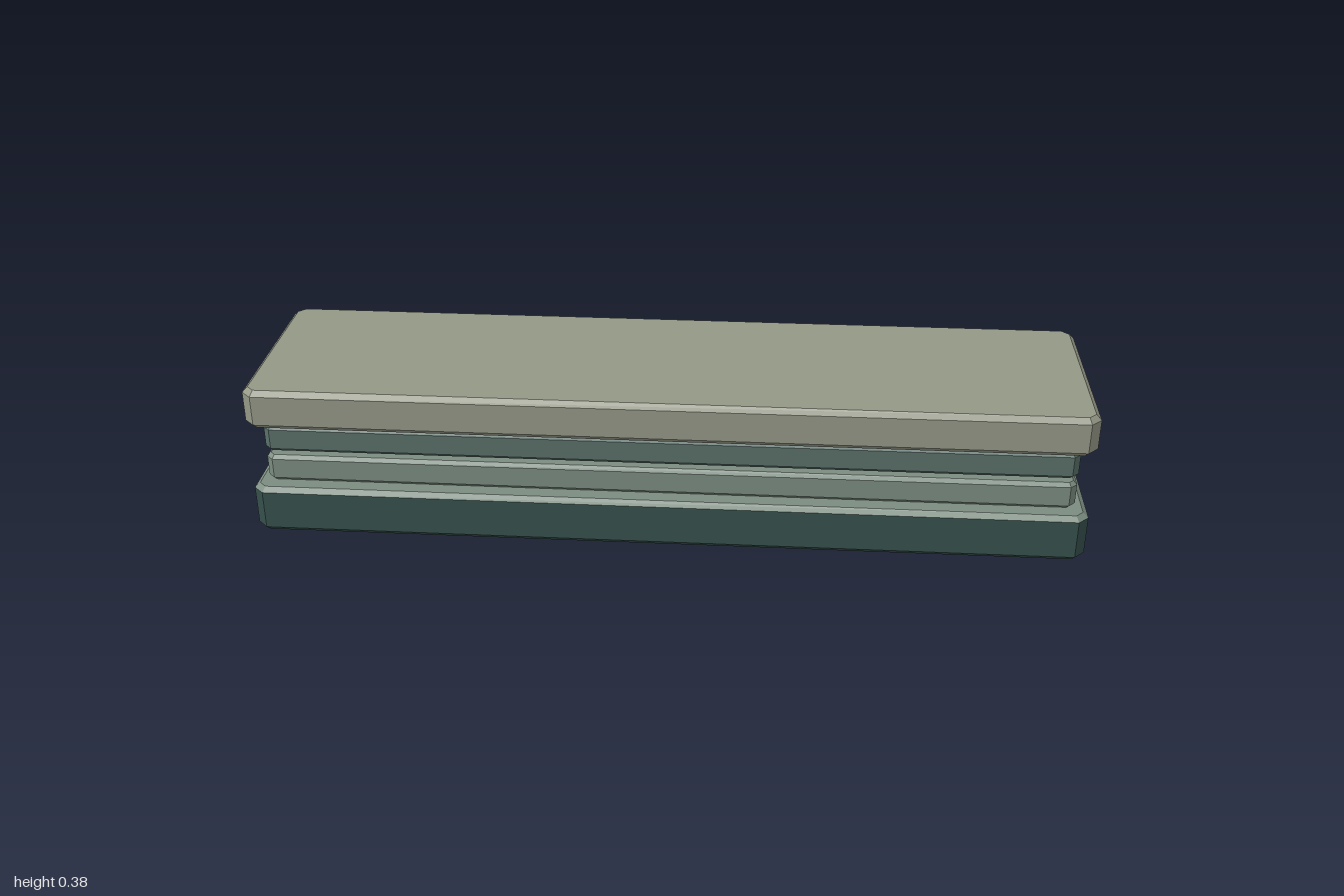
import * as THREE from 'three';

// Octagonal footprint: a rectangle with cut corners, inset evenly on all sides
function footprint(halfX, halfZ, cut, inset, y) {
  const a = halfX - inset, b = halfZ - inset;
  const c = cut - inset * (2 - Math.SQRT2);
  return [
    [a, b - c], [a, c - b], [a - c, -b], [c - a, -b],
    [-a, c - b], [-a, b - c], [c - a, b], [a - c, b],
  ].map(([x, z]) => new THREE.Vector3(x, y, z));
}

// Closed solid through footprints at [y, inset] levels, bottom to top
function slabGeometry(halfX, halfZ, cut, levels) {
  const rings = levels.map(([y, inset]) => footprint(halfX, halfZ, cut, inset, y));
  const points = [];
  const n = 8;
  for (let r = 0; r < rings.length - 1; r++) {
    const lo = rings[r], hi = rings[r + 1];
    for (let i = 0; i < n; i++) {
      const j = (i + 1) % n;
      points.push(lo[i], lo[j], hi[j], lo[i], hi[j], hi[i]);
    }
  }
  const bottom = rings[0], top = rings[rings.length - 1];
  for (let i = 1; i < n - 1; i++) {
    points.push(top[0], top[i], top[i + 1], bottom[0], bottom[i + 1], bottom[i]);
  }
  const geometry = new THREE.BufferGeometry().setFromPoints(points);
  geometry.computeVertexNormals();
  return geometry;
}

export function createModel() {
  const model = new THREE.Group();
  model.name = 'layeredPlatform';

  const add = (name, color, halfX, halfZ, cut, levels) => {
    const material = new THREE.MeshStandardMaterial({ color, flatShading: true });
    const mesh = new THREE.Mesh(slabGeometry(halfX, halfZ, cut, levels), material);
    mesh.name = name;
    model.add(mesh);
  };

  // Slab bevelled along its top and bottom edges
  const bevelled = (y0, y1, bevel) => [[y0, bevel], [y0 + bevel, 0], [y1 - bevel, 0], [y1, bevel]];

  // Dark base with a lighter bevelled top surface
  add('baseBody', 0x36504c, 1, 0.25, 0.025, [[0, 0.013], [0.013, 0], [0.109, 0]]);
  add('baseTop', 0x7b8c80, 1, 0.25, 0.025, [[0.109, 0], [0.12, 0.013]]);

  // Two narrower middle slabs
  add('lowerMiddleSlab', 0x7b8c80, 0.97, 0.21, 0.016, bevelled(0.121, 0.189, 0.009));
  add('upperMiddleSlab', 0x5a706a, 0.97, 0.21, 0.016, bevelled(0.201, 0.269, 0.009));

  // Wide top slab
  add('topSlab', 0x949886, 1, 0.25, 0.025, bevelled(0.281, 0.38, 0.0125));

  return model;
}
